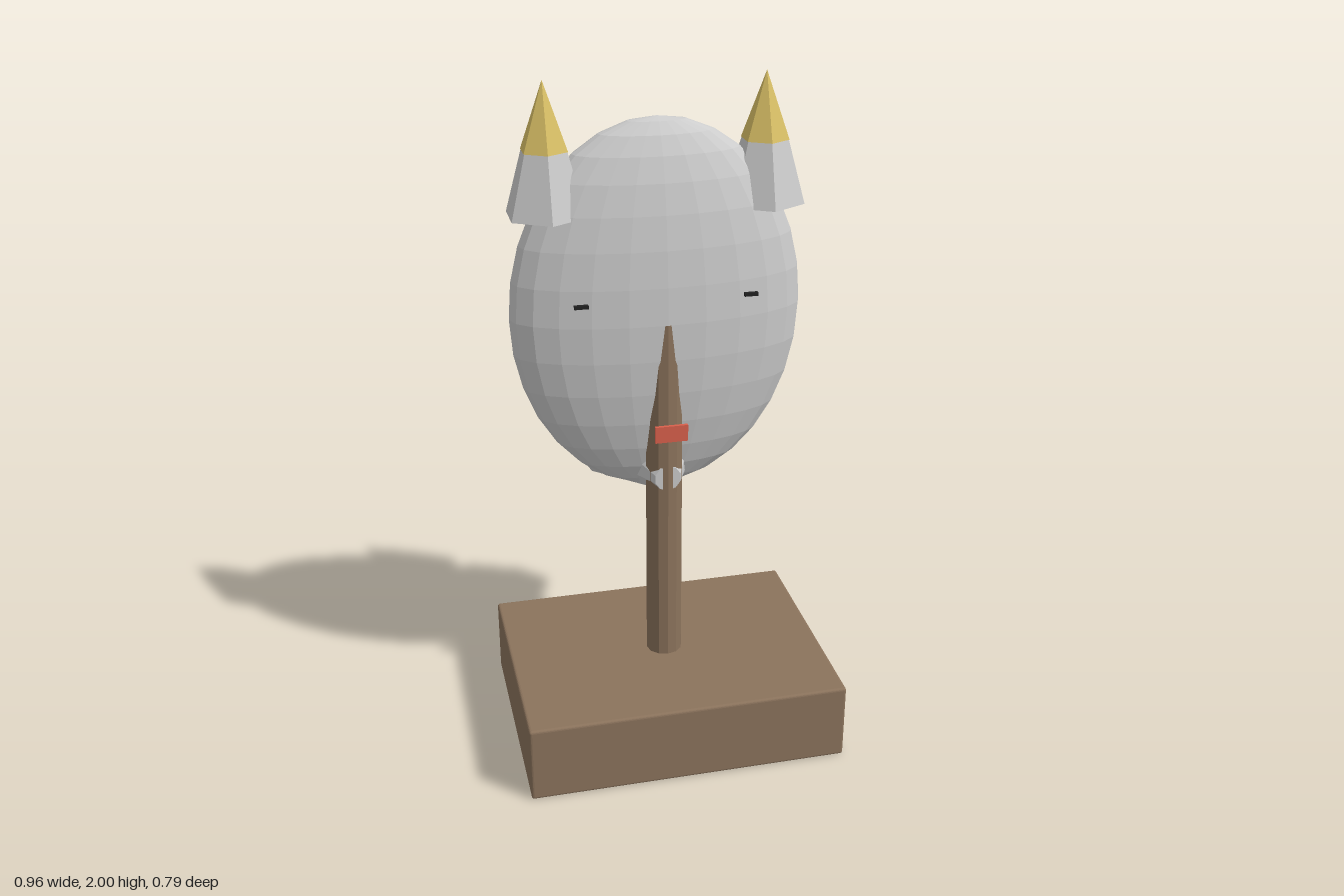
import * as THREE from 'three';
import { RoundedBoxGeometry } from 'three/addons/geometries/RoundedBoxGeometry.js';

const material = (color) => new THREE.MeshStandardMaterial({ color, flatShading: true });

export function createModel() {
  const model = new THREE.Group();
  const grey = material(0xcccccc);
  const brown = material(0x8b735c);
  const gold = material(0xd9bf66);
  const red = material(0xd9604c);
  const black = material(0x222222);

  const add = (name, geometry, mat, x, y, z) => {
    const mesh = new THREE.Mesh(geometry, mat);
    mesh.name = name;
    mesh.position.set(x, y, z);
    model.add(mesh);
    return mesh;
  };

  // Stand: slab and upright post running up into the body
  add('base', new RoundedBoxGeometry(0.96, 0.24, 0.72, 2, 0.008), brown, 0, 0.12, 0.035);
  add('post', new THREE.CylinderGeometry(0.055, 0.055, 1.1, 12), brown, 0, 0.78, 0.037);

  // Flattened egg-shaped body
  const body = new THREE.SphereGeometry(1, 24, 16);
  body.scale(0.43, 0.56, 0.15);
  add('body', body, grey, 0, 1.33, -0.06);

  // Tail flaring out towards the back
  const tailFront = 0.088, tailBack = -0.395;
  const tail = new THREE.CylinderGeometry(0.04, 0.24, tailFront - tailBack, 10);
  tail.rotateX(Math.PI / 2);
  add('tail', tail, grey, 0, 0.85, (tailFront + tailBack) / 2);

  // Mouth plate in front of the post
  add('mouth', new THREE.BoxGeometry(0.096, 0.05, 0.01), red, 0, 1.015, 0.131);

  // Paired ears with coloured tips, and slit eyes
  for (const [side, s] of [['left', 1], ['right', -1]]) {
    add(side + 'Ear', new THREE.CylinderGeometry(0.068, 0.12, 0.18, 6), grey, s * 0.313, 1.72, -0.06);
    add(side + 'EarTip', new THREE.ConeGeometry(0.07, 0.19, 6), gold, s * 0.313, 1.905, -0.06);
    add(side + 'Eye', new THREE.BoxGeometry(0.04, 0.01, 0.012), black, s * 0.244, 1.4, 0.075);
  }

  return model;
}
